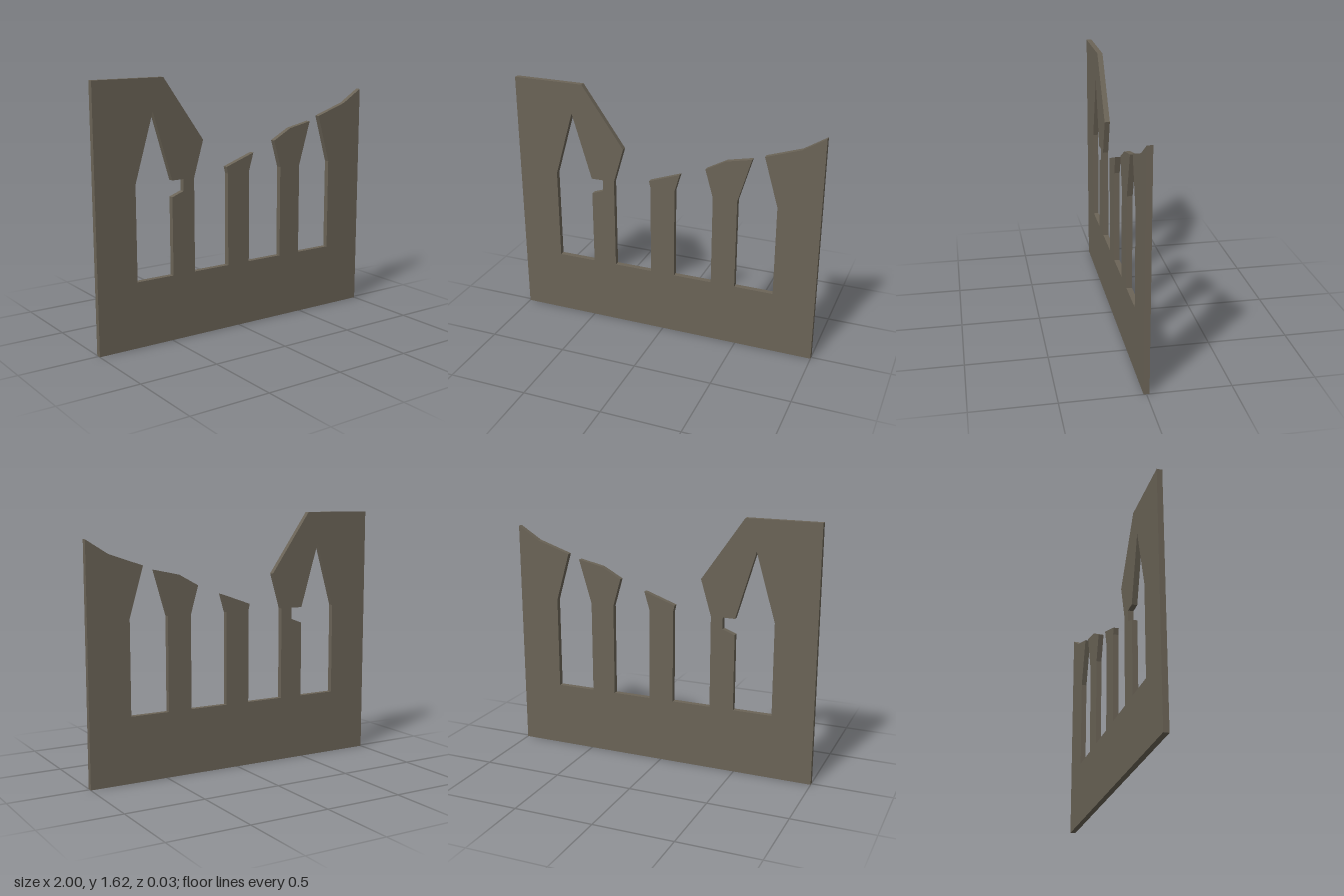
import * as THREE from 'three';

const THICKNESS = 0.034;
const SILL = 0.412; // bottom of every window
const SPRING = 1.0; // height where the pointed arches begin

const toPoints = (list) => list.map(([x, y]) => new THREE.Vector2(x, y));

export function createModel() {
  const group = new THREE.Group();
  group.name = 'ruinedWall';

  const stone = new THREE.MeshStandardMaterial({ color: 0x6b6457 });
  stone.name = 'weathered stone';

  // Wall outline with three broken, open-topped windows
  const wallShape = new THREE.Shape(toPoints([
    [-1, 0], [1, 0],
    // right jamb and its broken top
    [1, 1.47], [0.86, 1.383], [0.642, 1.31], [0.733, SPRING], [0.733, SILL],
    // right mullion
    [0.483, SILL], [0.483, SPRING], [0.566, 1.281], [0.405, 1.247], [0.276, 1.177], [0.327, SPRING], [0.327, SILL],
    // middle mullion
    [0.077, SILL], [0.077, SPRING], [0.111, 1.115], [-0.093, 1.043], [-0.083, SPRING], [-0.083, SILL],
    // left mullion and surviving upper corner
    [-0.333, SILL], [-0.333, SPRING], [-0.266, 1.227], [-0.538, 1.615], [-1, 1.615],
  ]));

  // Intact pointed window with a chipped notch in its jamb
  wallShape.holes.push(new THREE.Path(toPoints([
    [-0.737, SILL], [-0.737, SPRING], [-0.613, 1.42], [-0.488, SPRING],
    [-0.41, SPRING], [-0.41, 0.927], [-0.488, 0.898], [-0.488, SILL],
  ])));

  const geometry = new THREE.ExtrudeGeometry(wallShape, { depth: THICKNESS, bevelEnabled: false });
  geometry.translate(0, 0, -THICKNESS / 2);

  const wall = new THREE.Mesh(geometry, stone);
  wall.name = 'windowWall';
  group.add(wall);
  return group;
}
